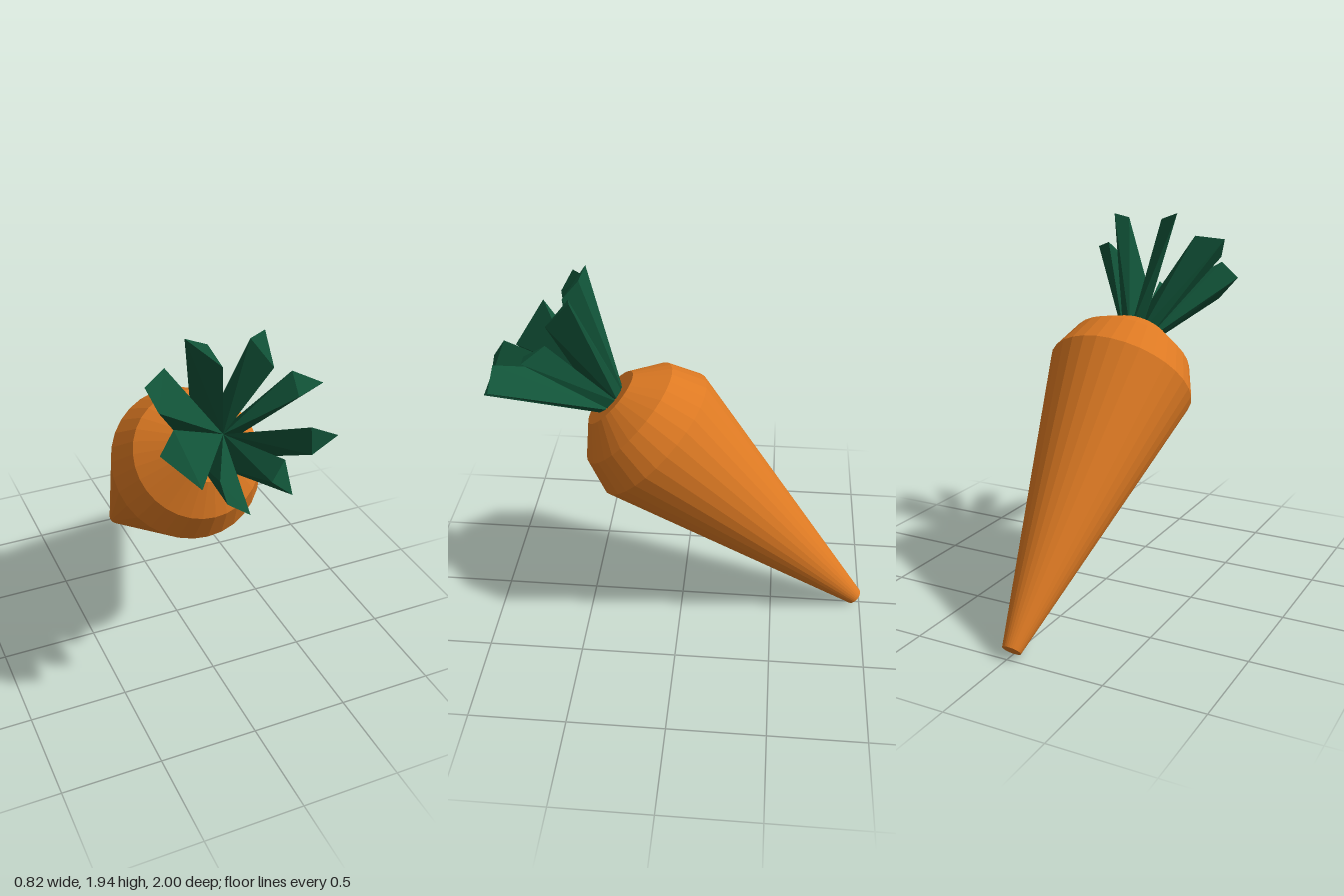
import * as THREE from 'three';
import { ConvexGeometry } from 'three/addons/geometries/ConvexGeometry.js';

const SIDES = 32;

// Lathe from [radius, height] pairs
function lathe(name, profile, material) {
  const pts = profile.map(([r, h]) => new THREE.Vector2(r, h));
  const mesh = new THREE.Mesh(new THREE.LatheGeometry(pts, SIDES), material);
  mesh.name = name;
  return mesh;
}

// Faceted leaf flaring from the stem base to a blunt three-cornered tip
function leaf(tip, material) {
  const corners = tip.map(([x, u, d]) => new THREE.Vector3(x, d, -u));
  const mid = corners.reduce((s, c) => s.add(c), new THREE.Vector3());
  const angle = Math.atan2(mid.z, mid.x);
  const base = [-0.38, 0.38].map((a) =>
    new THREE.Vector3(0.077 * Math.cos(angle + a), -0.025, 0.077 * Math.sin(angle + a)));
  // the inner corner sits up the stem, so leaves join in one bundle below it
  const inner = new THREE.Vector3(0, 0.24, 0);
  const foot = new THREE.Vector3(0, -0.025, 0);
  const mesh = new THREE.Mesh(new ConvexGeometry([...corners, ...base, inner, foot]), material);
  mesh.name = 'leaf';
  return mesh;
}

export function createModel() {
  const orange = new THREE.MeshStandardMaterial({ color: 0xde7a23, flatShading: true });
  orange.name = 'carrot orange';
  const green = new THREE.MeshStandardMaterial({ color: 0x115338, flatShading: true });
  green.name = 'leaf green';

  const model = new THREE.Group();
  model.name = 'carrot';

  // Everything is built along local y, then leaned forward
  const tilted = new THREE.Group();
  tilted.name = 'tiltedCarrot';
  tilted.position.set(-0.008, 1.085, 0.15);
  tilted.rotation.x = 0.818;
  model.add(tilted);

  // Root and stepped crown
  tilted.add(lathe('root', [[0, -1.535], [0.047, -1.535], [0.392, 0]], orange));
  tilted.add(lathe('crown', [[0.392, 0], [0.325, 0.175], [0.17, 0.3], [0, 0.3]], orange));

  // Leaf tips: [sideways, upward, along the axis] for each corner
  const tips = [
    [[-0.17, 0.39, 0.53], [-0.07, 0.35, 0.52], [-0.03, 0.236, 0.52]],
    [[0.13, 0.34, 0.53], [0.21, 0.367, 0.53], [0.2, 0.19, 0.53]],
    [[0.3, 0.17, 0.49], [0.41, 0.08, 0.53], [0.28, 0.04, 0.52]],
    [[0.4, -0.166, 0.54], [0.26, -0.116, 0.59], [0.27, -0.22, 0.5]],
    [[0.13, -0.37, 0.49], [0.04, -0.3, 0.52], [0.12, -0.22, 0.54]],
    [[-0.19, -0.35, 0.535], [-0.08, -0.41, 0.48], [-0.2, -0.25, 0.55]],
    [[-0.41, -0.083, 0.5], [-0.33, 0.01, 0.53], [-0.26, -0.26, 0.48]],
    [[-0.27, 0.298, 0.46], [-0.4, 0.215, 0.517], [-0.36, 0.1, 0.49]],
  ];
  const leaves = new THREE.Group();
  leaves.name = 'leaves';
  leaves.position.set(0.008, 0.3, 0);
  tips.forEach((tip) => leaves.add(leaf(tip, green)));
  tilted.add(leaves);

  return model;
}
